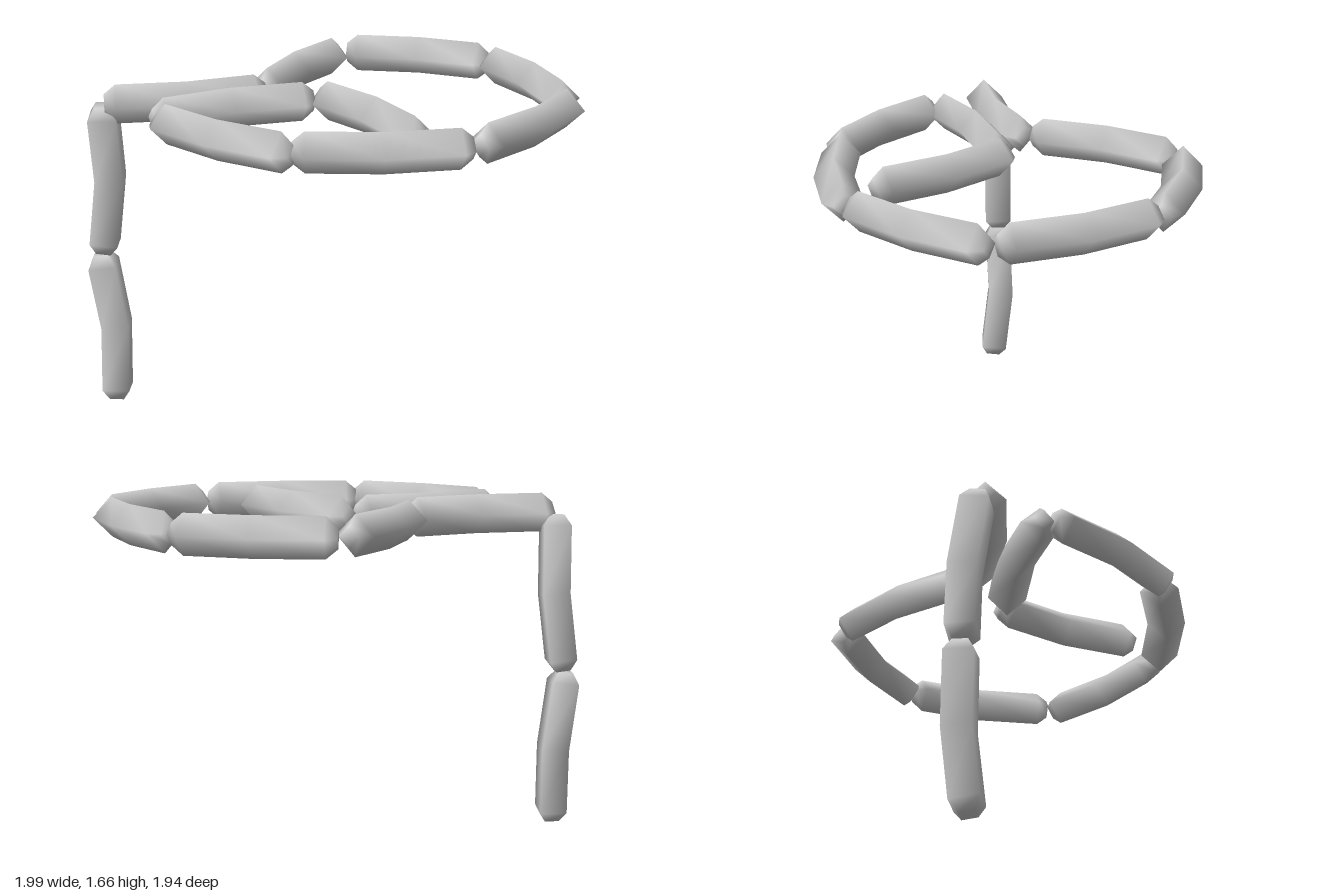
import * as THREE from 'three';

const RADIUS = 0.095, TIP_RADIUS = 0.05, TIP = 0.055, BEND = 0.036, SIDES = 4;
const RING_Y = 1.565;
const V = (x, y, z) => new THREE.Vector3(x, y, z);

// One bent link: diamond cross-sections from end a to end b, bowed towards `bow`, with tapered tips.
function linkGeometry(a, b, bow) {
  const t = b.clone().sub(a).normalize();
  const u = bow.clone().addScaledVector(t, -bow.dot(t)).normalize();
  const mid = a.clone().lerp(b, 0.5).addScaledVector(u, BEND);
  const t0 = mid.clone().sub(a).normalize();
  const t1 = b.clone().sub(mid).normalize();
  const rings = [
    { c: a.clone().addScaledVector(t0, -TIP), t: t0, r: TIP_RADIUS },
    { c: a, t: t0, r: RADIUS },
    { c: mid, t, r: RADIUS },
    { c: b, t: t1, r: RADIUS },
    { c: b.clone().addScaledVector(t1, TIP), t: t1, r: TIP_RADIUS },
  ];
  const pos = [], index = [];
  for (const ring of rings) {
    const side = u.clone().addScaledVector(ring.t, -u.dot(ring.t)).normalize();
    const w = ring.t.clone().cross(side);
    for (let j = 0; j < SIDES; j++) {
      const ang = (j / SIDES) * Math.PI * 2;
      const p = ring.c.clone()
        .addScaledVector(side, ring.r * Math.cos(ang))
        .addScaledVector(w, ring.r * Math.sin(ang));
      pos.push(p.x, p.y, p.z);
    }
  }
  const last = (rings.length - 1) * SIDES;
  for (let i = 0; i < last; i += SIDES) {
    for (let j = 0; j < SIDES; j++) {
      const k = (j + 1) % SIDES;
      index.push(i + j, i + k, i + SIDES + k, i + j, i + SIDES + k, i + SIDES + j);
    }
  }
  // flat ends
  for (let j = 1; j < SIDES - 1; j++) {
    index.push(0, j + 1, j, last, last + j, last + j + 1);
  }
  const g = new THREE.BufferGeometry();
  g.setAttribute('position', new THREE.Float32BufferAttribute(pos, 3));
  g.setIndex(index);
  g.computeVertexNormals();
  return g;
}

export function createModel() {
  const group = new THREE.Group();
  const material = new THREE.MeshStandardMaterial({ color: 0xcccccc });
  const add = (name, a, b, bow) => {
    const mesh = new THREE.Mesh(linkGeometry(a, b, bow), material);
    mesh.name = name;
    group.add(mesh);
  };

  // Level chain spiralling inwards: x, z of each link's two ends, bowed to the left of travel
  const chain = [
    [-0.30, -0.41, -0.87, -0.74],
    [-0.18, -0.45, 0.44, -0.64],
    [0.58, -0.59, 0.90, -0.04],
    [0.90, 0.075, 0.66, 0.69],
    [0.57, 0.79, -0.08, 0.87],
    [-0.22, 0.84, -0.73, 0.40],
    [-0.80, 0.33, -0.90, -0.33],
    [-0.845, -0.415, -0.225, -0.155],
    [-0.13, -0.08, -0.235, 0.58],
  ];
  chain.forEach(([ax, az, bx, bz], i) => {
    const a = V(ax, RING_Y, az), b = V(bx, RING_Y, bz);
    const left = V(0, 1, 0).cross(b.clone().sub(a));
    add(`coilLink${i + 1}`, a, b, left);
  });

  // Hanging links
  add('upperHangingLink', V(-0.89, 0.84, -0.868), V(-0.9, 1.5, -0.805), V(1, 0, 0));
  add('lowerHangingLink', V(-0.893, 0.06, -0.835), V(-0.9, 0.725, -0.878), V(1, 0, 0));

  return group;
}
